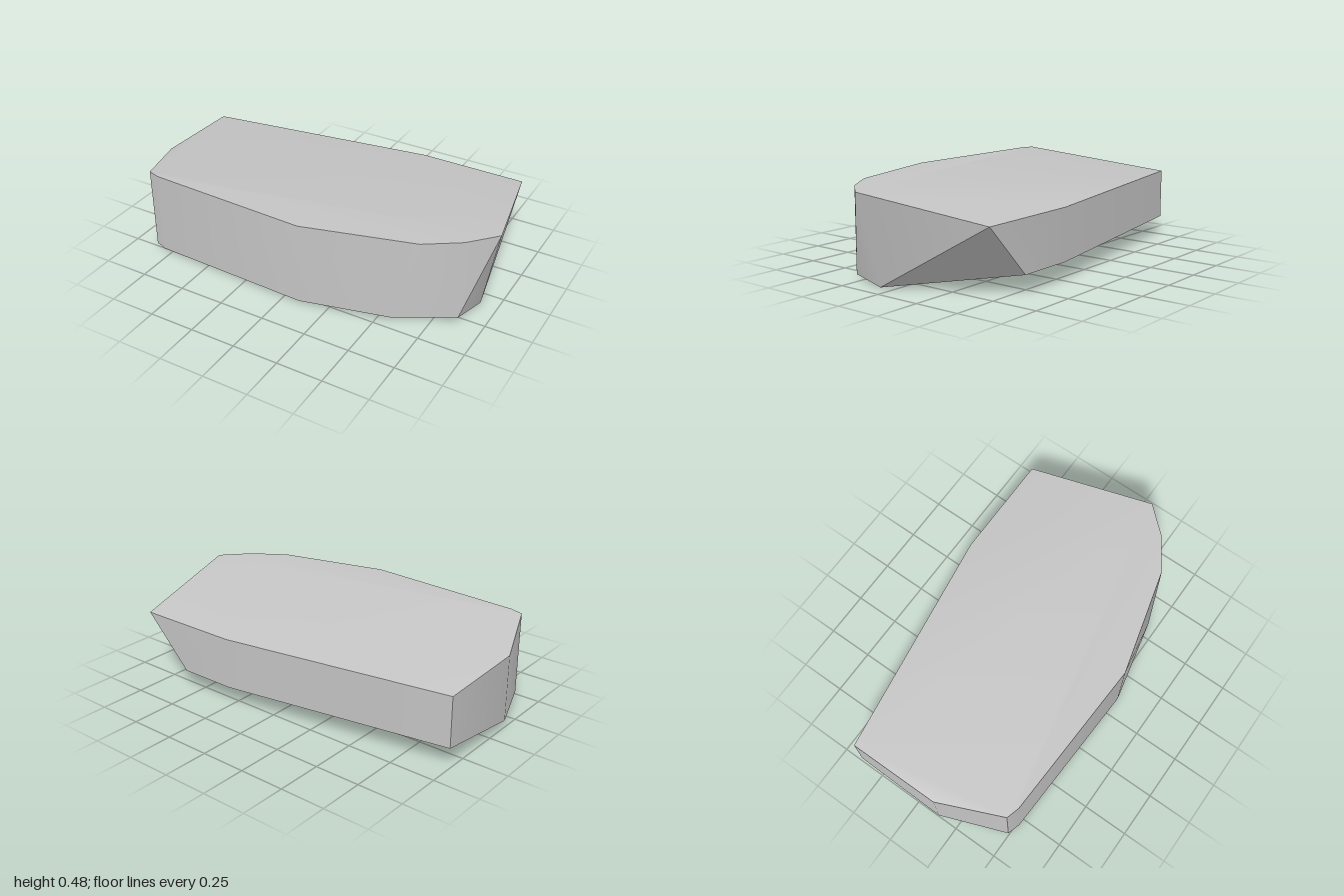
import * as THREE from 'three';
import { ConvexGeometry } from 'three/addons/geometries/ConvexGeometry.js';
import { toCreasedNormals } from 'three/addons/utils/BufferGeometryUtils.js';

// Rim corners as [x, y, z], running from the back left round to the front
const topRim = [
  [-1, 0.385, -0.37], [0.26, 0.377, -0.56], [0.845, 0.375, -0.56],
  [1, 0.478, 0.137], [0.87, 0.478, 0.28], [0.69, 0.478, 0.4], [0.1, 0.476, 0.555],
  [-0.79, 0.475, 0.516], [-0.86, 0.474, 0.495], [-1, 0.405, 0.14],
];
const bottomRim = [
  [-1, 0.11, -0.37], [0.26, 0.1, -0.56], [0.58, 0.1, -0.56],
  [0.905, 0, 0.08], [0.867, 0.026, 0.285], [0.57, 0.026, 0.452], [0.1, 0.018, 0.555],
  [-0.79, 0.013, 0.516], [-0.86, 0.016, 0.495], [-1, 0.04, 0.14],
];

export function createModel() {
  const group = new THREE.Group();
  group.name = 'stoneSlab';

  const stone = new THREE.MeshStandardMaterial({ color: 0xc5c5c5 });
  stone.name = 'light grey stone';

  // Faceted stone: the hull between both rims, sharp only at strong edges
  const corners = [...topRim, ...bottomRim].map((p) => new THREE.Vector3(...p));
  const slab = new THREE.Mesh(toCreasedNormals(new ConvexGeometry(corners), 0.5), stone);
  slab.name = 'slab';
  group.add(slab);

  return group;
}
